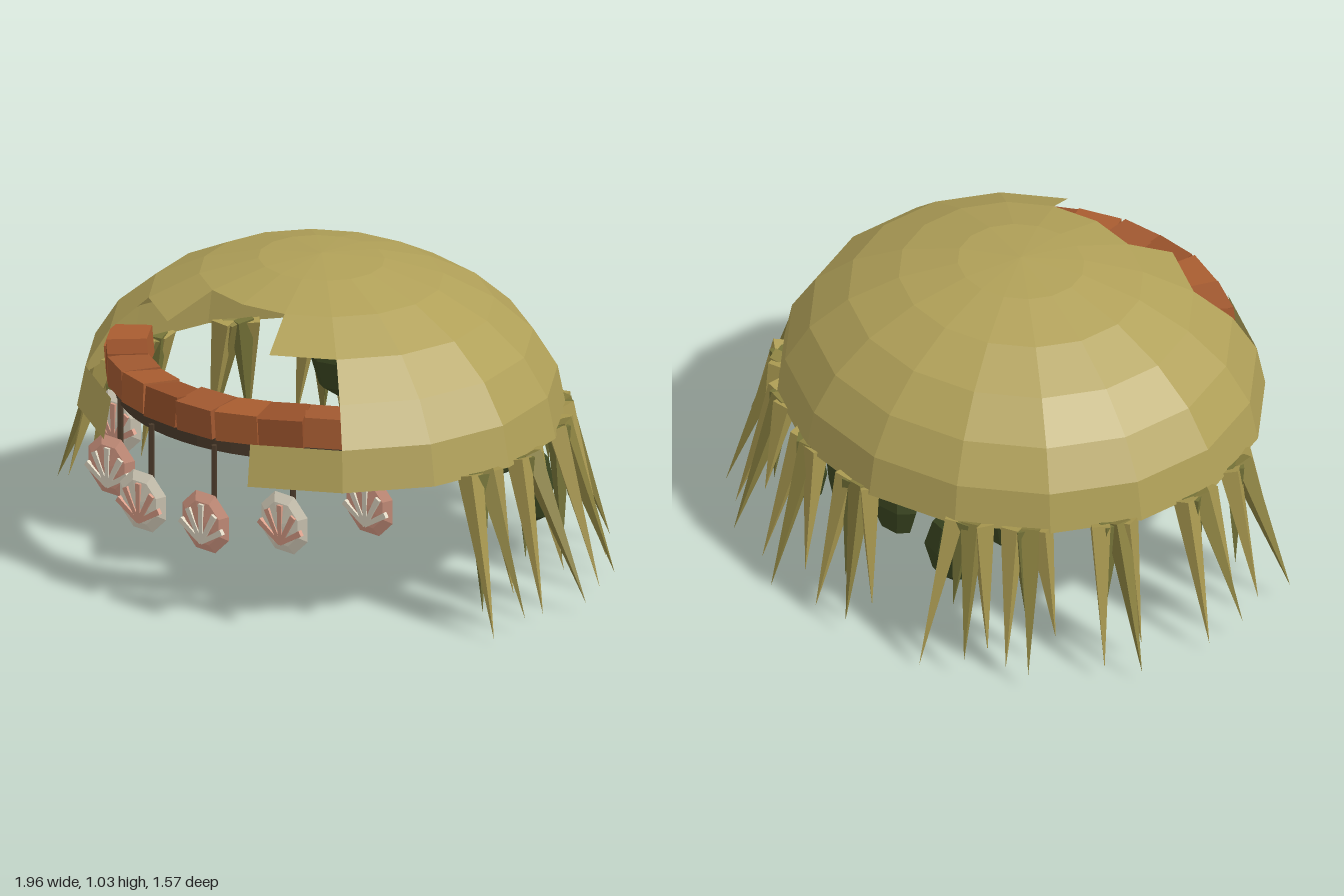
import * as THREE from 'three';

const CX = 0.01, CZ = 0.07; // centre of the dome
const mat = (color, side = THREE.FrontSide) =>
  new THREE.MeshStandardMaterial({ color, flatShading: true, side });
const straw = mat(0xb0a058, THREE.DoubleSide);
const grass = [mat(0xa89850), mat(0x8a8040), mat(0x747238)];
const bricks = [mat(0xa85c30), mat(0x96502a), mat(0xa05830)];
const bark = mat(0x4a3a2a);
const leafGreen = mat(0x3a4520);
const cream = mat(0xe0d8c4), pink = mat(0xd89c86);

let seed = 7;
const rand = (a, b) => {
  seed = (seed * 16807) % 2147483647;
  return a + (b - a) * (seed / 2147483647);
};

function add(parent, name, geometry, material, x = 0, y = 0, z = 0) {
  const mesh = new THREE.Mesh(geometry, material);
  mesh.name = name;
  mesh.position.set(x, y, z);
  parent.add(mesh);
  return mesh;
}

// Faceted half dome with a stepped opening at the front
function domeGeometry() {
  const point = (row, col) => {
    const t = row * Math.PI / 12, a = col * Math.PI / 8;
    return [CX + 0.81 * Math.cos(t) * Math.sin(a), 0.51 + 0.52 * Math.sin(t),
      CZ + 0.745 * Math.cos(t) * Math.cos(a)];
  };
  const open = [1, 2, 2, 1, 0, 0]; // open columns each side of the middle, per row
  const pos = [];
  for (let r = 0; r < 6; r++) {
    for (let c = open[r]; c < 16 - open[r]; c++) {
      const a = point(r, c), b = point(r, c + 1), d = point(r + 1, c + 1), e = point(r + 1, c);
      pos.push(...a, ...b, ...d);
      if (r < 5) pos.push(...a, ...d, ...e);
    }
  }
  const g = new THREE.BufferGeometry();
  g.setAttribute('position', new THREE.Float32BufferAttribute(pos, 3));
  g.computeVertexNormals();
  return g;
}

// Row of uneven blocks on a curved bark strip across the opening
function createBand() {
  const band = new THREE.Group();
  band.name = 'brickBand';
  const step = 12.6 * Math.PI / 180;
  for (let i = 0; i < 10; i++) {
    const a = (i - 4.5) * step;
    const block = add(band, 'brick', new THREE.BoxGeometry(0.145, 0.1, 0.13), bricks[i % 3],
      CX + 0.62 * Math.sin(a), 0.67 + rand(-0.008, 0.008), CZ + 0.62 * Math.cos(a));
    block.rotation.set(rand(-0.12, 0.12), a + rand(-0.08, 0.08), rand(-0.09, 0.09));
  }
  const arc = new THREE.Shape();
  const end = 66 * Math.PI / 180;
  arc.absarc(0, 0, 0.66, -Math.PI / 2 - end, -Math.PI / 2 + end, false);
  arc.absarc(0, 0, 0.58, -Math.PI / 2 + end, -Math.PI / 2 - end, true);
  const strip = add(band, 'barkStrip', new THREE.ExtrudeGeometry(arc,
    { depth: 0.05, bevelEnabled: false, curveSegments: 12 }), bark, CX, 0.575, CZ);
  strip.rotation.x = -Math.PI / 2;
  return band;
}

// Hanging shell with a fan of ribs, wider at the tips, on its front
function createShell(x, y, z, base, ribs) {
  const shell = new THREE.Group();
  shell.name = 'shell';
  shell.position.set(x, y, z);
  const body = add(shell, 'shellBody',
    new THREE.SphereGeometry(0.108, 8, 4).rotateX(Math.PI / 2).rotateZ(Math.PI / 8), base);
  body.scale.set(1, 0.98, 0.22);
  for (let i = -2; i <= 2; i++) {
    const a = i * 0.5;
    const len = 0.13 - Math.abs(i) * 0.012;
    const rib = add(shell, 'shellRib',
      new THREE.CylinderGeometry(0.014, 0.01, len, 4, 1).rotateY(Math.PI / 4), ribs,
      -Math.sin(a) * len / 2, -0.065 + Math.cos(a) * len / 2, 0.02);
    rib.rotation.z = a;
    rib.scale.z = 0.7;
  }
  return shell;
}

// Tight cluster of blades splaying down from the rim; angle 0 is the middle of the back
function createTuft(deg) {
  const tuft = new THREE.Group();
  tuft.name = 'grassTuft';
  const up = new THREE.Vector3(0, 1, 0);
  [0.2, 0.38, 0.08, 0.28].forEach((tilt, i) => {
    const a = (deg + (i - 1.5) * 2.2) * Math.PI / 180;
    const out = new THREE.Vector3(Math.sin(a), 0, -Math.cos(a));
    const along = new THREE.Vector3(Math.cos(a), 0, Math.sin(a));
    const len = i % 2 ? rand(0.46, 0.54) : rand(0.3, 0.46);
    const lean = tilt * (0.75 + 0.3 * Math.abs(out.x)) + rand(-0.04, 0.04);
    const dir = up.clone().negate().addScaledVector(out, lean)
      .addScaledVector(along, (i - 1.5) * 0.06 + rand(-0.07, 0.07)).normalize();
    const blade = add(tuft, 'grassBlade', new THREE.ConeGeometry(0.042, len, 4), grass[i % 3],
      CX + 0.8 * out.x, 0.52, CZ + 0.72 * out.z);
    blade.position.addScaledVector(dir, len / 2);
    blade.quaternion.setFromUnitVectors(up, dir);
  });
  return tuft;
}

export function createModel() {
  const model = new THREE.Group();
  model.name = 'thatchedDome';
  add(model, 'dome', domeGeometry(), straw);
  model.add(createBand());

  // Shells on cords, from the model's right to its left
  [[-0.53, 0.42, 0.44], [-0.36, 0.375, 0.655], [-0.12, 0.35, 0.77],
    [0.15, 0.35, 0.77], [0.385, 0.375, 0.655], [0.555, 0.42, 0.44]].forEach(([x, y, z], i) => {
    model.add(createShell(x, y, z, i % 2 ? pink : cream, i % 2 ? cream : pink));
    add(model, 'cord', new THREE.CylinderGeometry(0.01, 0.01, 0.55 - y, 5), bark,
      x, (0.65 + y) / 2, z - 0.04);
  });

  // Grass tufts around the sides and back
  for (const deg of [-101, -84, -60, -39, -25, 5, 24, 43, 59, 82, 99]) model.add(createTuft(deg));

  // Dark leaf pods hanging inside the back
  for (const [x, y, z] of [[0.5, 0.235, -0.4], [0.29, 0.32, -0.45], [0.11, 0.3, -0.43],
    [-0.14, 0.24, -0.44], [-0.34, 0.44, -0.4], [0.17, 0.52, -0.42]]) {
    const pod = add(model, 'leafPod', new THREE.SphereGeometry(0.1, 7, 4), leafGreen, x, y, z);
    pod.scale.set(1, y > 0.5 ? 0.8 : 1.3, 0.6);
    pod.rotation.y = -x * 1.2;
  }
  return model;
}
